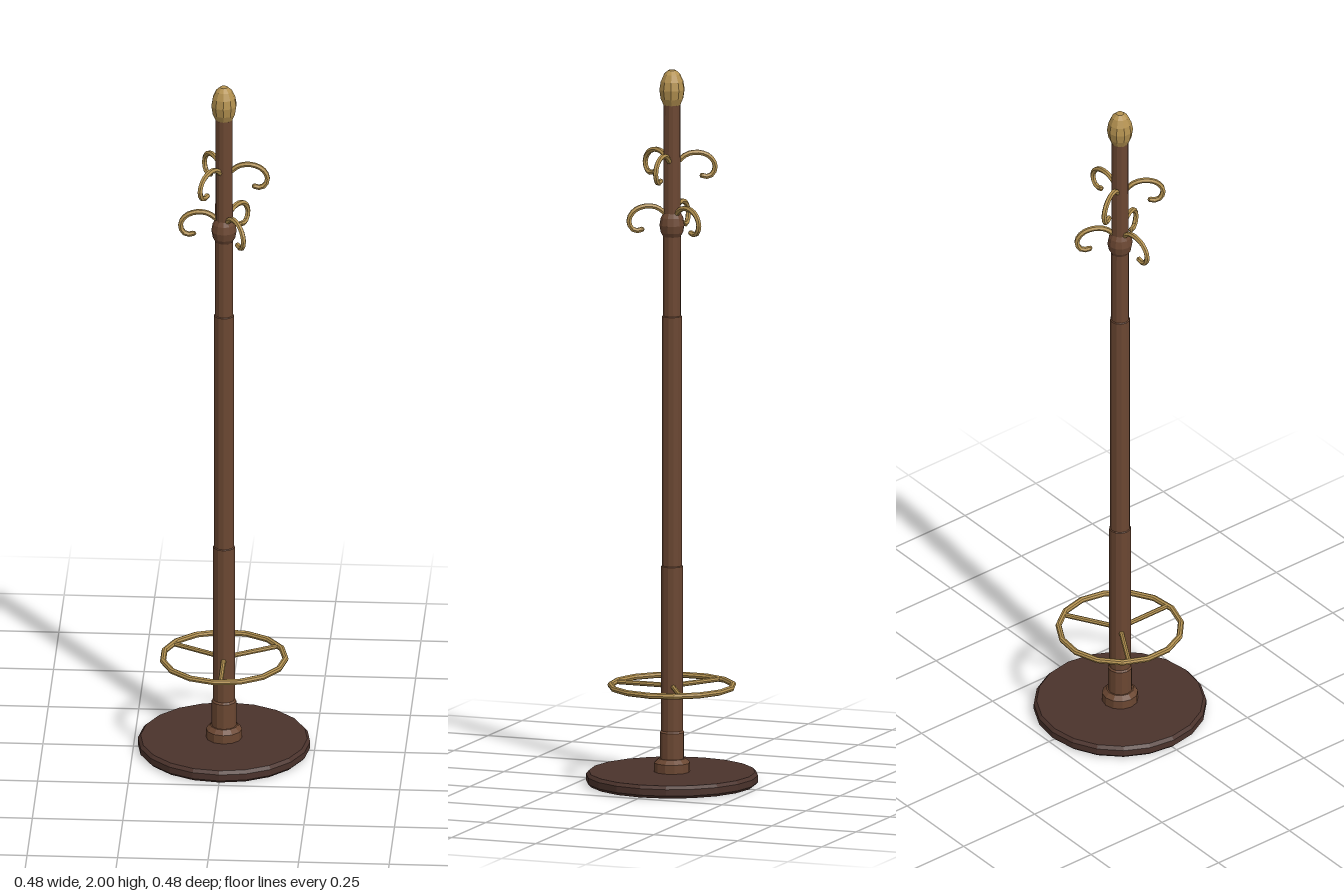
import * as THREE from 'three';

export function createModel() {
  const group = new THREE.Group();
  const material = (name, color) => {
    const m = new THREE.MeshStandardMaterial({ color, flatShading: true });
    m.name = name;
    return m;
  };
  const wood = material('brown wood', 0x6b4732);
  const darkWood = material('dark wood', 0x4b332c);
  const brass = material('brass', 0xb39150);

  const add = (name, geometry, mat, parent = group) => {
    const mesh = new THREE.Mesh(geometry, mat);
    mesh.name = name;
    parent.add(mesh);
    return mesh;
  };
  // Turned part from [radius, height] pairs, listed bottom to top
  const turned = (name, profile, sides, mat) =>
    add(name, new THREE.LatheGeometry(profile.map(([r, y]) => new THREE.Vector2(r, y)), sides), mat);

  // Round foot with a small chamfer
  turned('base', [[0, 0], [0.23, 0], [0.238, 0.008], [0.238, 0.026], [0.23, 0.035], [0, 0.035]], 20, darkWood);

  // Stepped pole and its mouldings
  turned('collar', [[0.05, 0.034], [0.05, 0.06], [0.038, 0.072], [0.03, 0.072]], 12, wood);
  turned('pole', [
    [0.034, 0.034], [0.034, 0.145], [0.03, 0.15], [0.03, 0.61], [0.0275, 0.612],
    [0.0275, 1.31], [0.025, 1.312], [0.0235, 1.91],
  ], 12, wood);
  turned('knob', [[0.024, 1.533], [0.031, 1.545], [0.035, 1.566], [0.031, 1.587], [0.024, 1.6]], 12, wood);

  // Egg-shaped top
  turned('finial', [
    [0, 1.902], [0.024, 1.902], [0.032, 1.92], [0.036, 1.945], [0.032, 1.968],
    [0.023, 1.988], [0.011, 1.999], [0, 2],
  ], 10, brass);

  // Umbrella ring on three spokes
  const ring = add('umbrellaRing', new THREE.TorusGeometry(0.17, 0.0085, 8, 15), brass);
  ring.rotation.x = Math.PI / 2;
  ring.position.y = 0.275;
  for (let i = 0; i < 3; i++) {
    const spoke = new THREE.Group();
    spoke.name = 'ringSpoke';
    spoke.rotation.y = -Math.PI / 2 + i * Math.PI * 2 / 3;
    spoke.position.y = 0.275;
    group.add(spoke);
    const rod = add('spokeRod', new THREE.CylinderGeometry(0.007, 0.007, 0.15, 8), brass, spoke);
    rod.rotation.z = Math.PI / 2;
    rod.position.x = 0.091;
  }

  // Curled coat hooks: two tiers of three, the lower one turned by 60 degrees
  const path = new THREE.CatmullRomCurve3([
    [0.015, 0.042], [0.042, 0.063], [0.075, 0.067], [0.105, 0.055],
    [0.12, 0.03], [0.113, 0.006], [0.098, -0.001], [0.084, 0.002],
  ].map(([x, y]) => new THREE.Vector3(x, y, 0)));
  const hookShape = new THREE.TubeGeometry(path, 14, 0.0075, 6);
  const endCap = new THREE.SphereGeometry(0.0075, 6, 4);
  for (const [y, turn] of [[1.7, 0], [1.553, Math.PI / 3]]) {
    for (let i = 0; i < 3; i++) {
      const hook = new THREE.Group();
      hook.name = 'coatHook';
      hook.position.y = y;
      hook.rotation.y = turn + i * Math.PI * 2 / 3;
      group.add(hook);
      add('hookCurl', hookShape, brass, hook);
      add('hookTip', endCap, brass, hook).position.copy(path.getPoint(1));
    }
  }
  return group;
}
